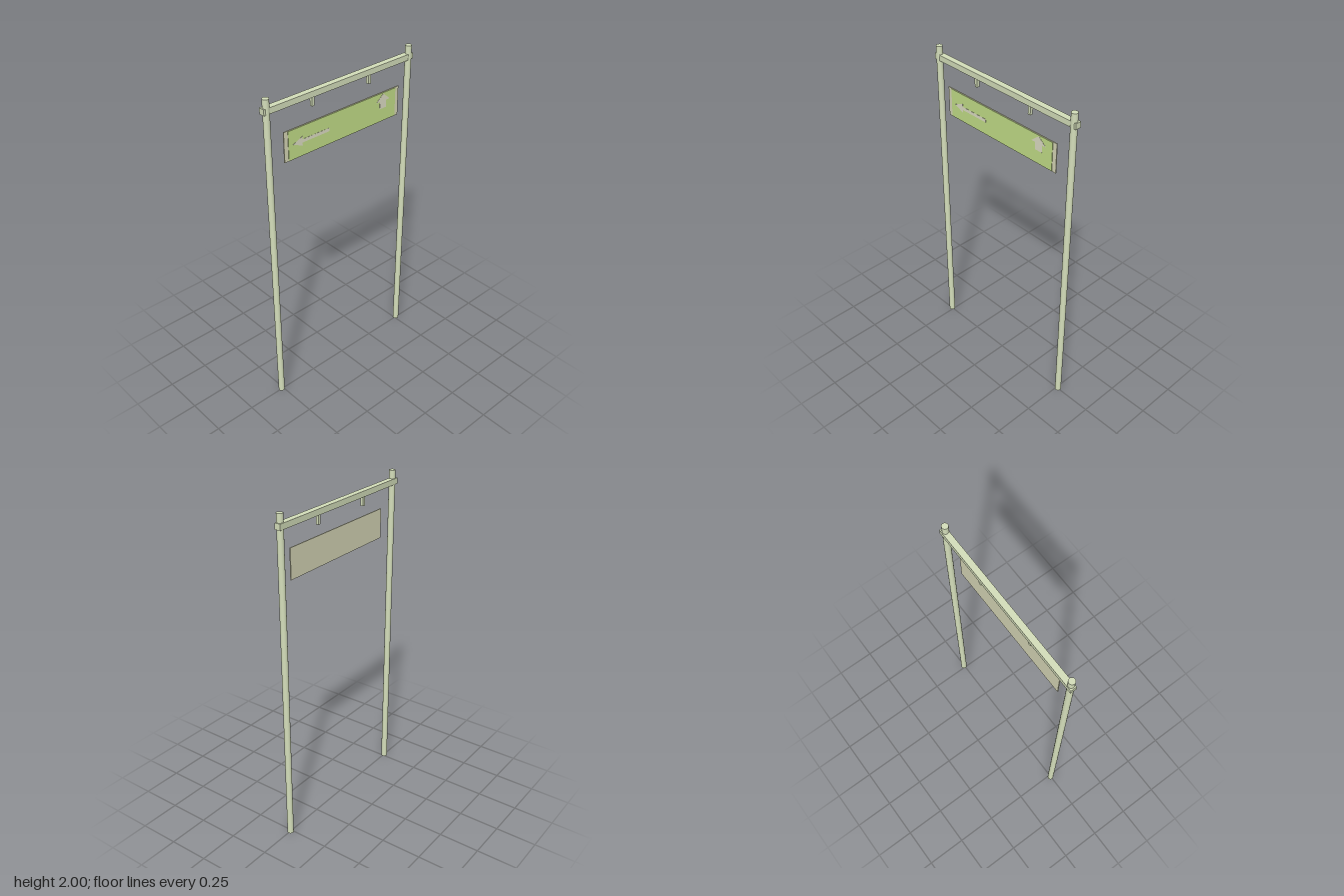
import * as THREE from 'three';

const material = (color) => new THREE.MeshStandardMaterial({ color });

export function createModel() {
  const group = new THREE.Group();
  const frame = material(0xd5dfbb);
  const board = material(0xd8d8b8);
  const green = material(0xc3df88);
  const pale = material(0xdedec4);

  const add = (name, geometry, mat, x, y, z) => {
    const mesh = new THREE.Mesh(geometry, mat);
    mesh.name = name;
    mesh.position.set(x, y, z);
    group.add(mesh);
    return mesh;
  };

  // Round posts and the small hangers under the beam
  for (const [side, s] of [['left', 1], ['right', -1]]) {
    add(side + 'Post', new THREE.CylinderGeometry(0.019, 0.019, 2, 24), frame, s * 0.512, 1, -0.002);
    add(side + 'Hanger', new THREE.BoxGeometry(0.018, 0.057, 0.018), frame, s * 0.205, 1.8875, -0.006);
  }

  // Cross beam passing through both posts
  add('crossBeam', new THREE.BoxGeometry(1.074, 0.035, 0.036), frame, 0, 1.9325, -0.006);

  // Sign board with a raised coloured face
  add('signBoard', new THREE.BoxGeometry(0.844, 0.18, 0.006), board, 0, 1.695, 0.014);
  add('signFace', new THREE.BoxGeometry(0.79, 0.174, 0.003), green, 0, 1.695, 0.0185);

  // Flat arrow pointing up, with its tip at the origin
  const arrow = (headWidth, headLength, shaftWidth, length) => {
    const h = headWidth / 2, w = shaftWidth / 2;
    const shape = new THREE.Shape([
      [0, 0], [-h, -headLength], [-w, -headLength], [-w, -length],
      [w, -length], [w, -headLength], [h, -headLength],
    ].map(([x, y]) => new THREE.Vector2(x, y)));
    return new THREE.ExtrudeGeometry(shape, { depth: 0.001, bevelEnabled: false });
  };
  add('upArrow', arrow(0.105, 0.045, 0.05, 0.09), pale, 0.297, 1.777, 0.02);
  add('sideArrow', arrow(0.056, 0.065, 0.02, 0.255), pale, -0.365, 1.695, 0.02).rotation.z = Math.PI / 2;

  return group;
}
